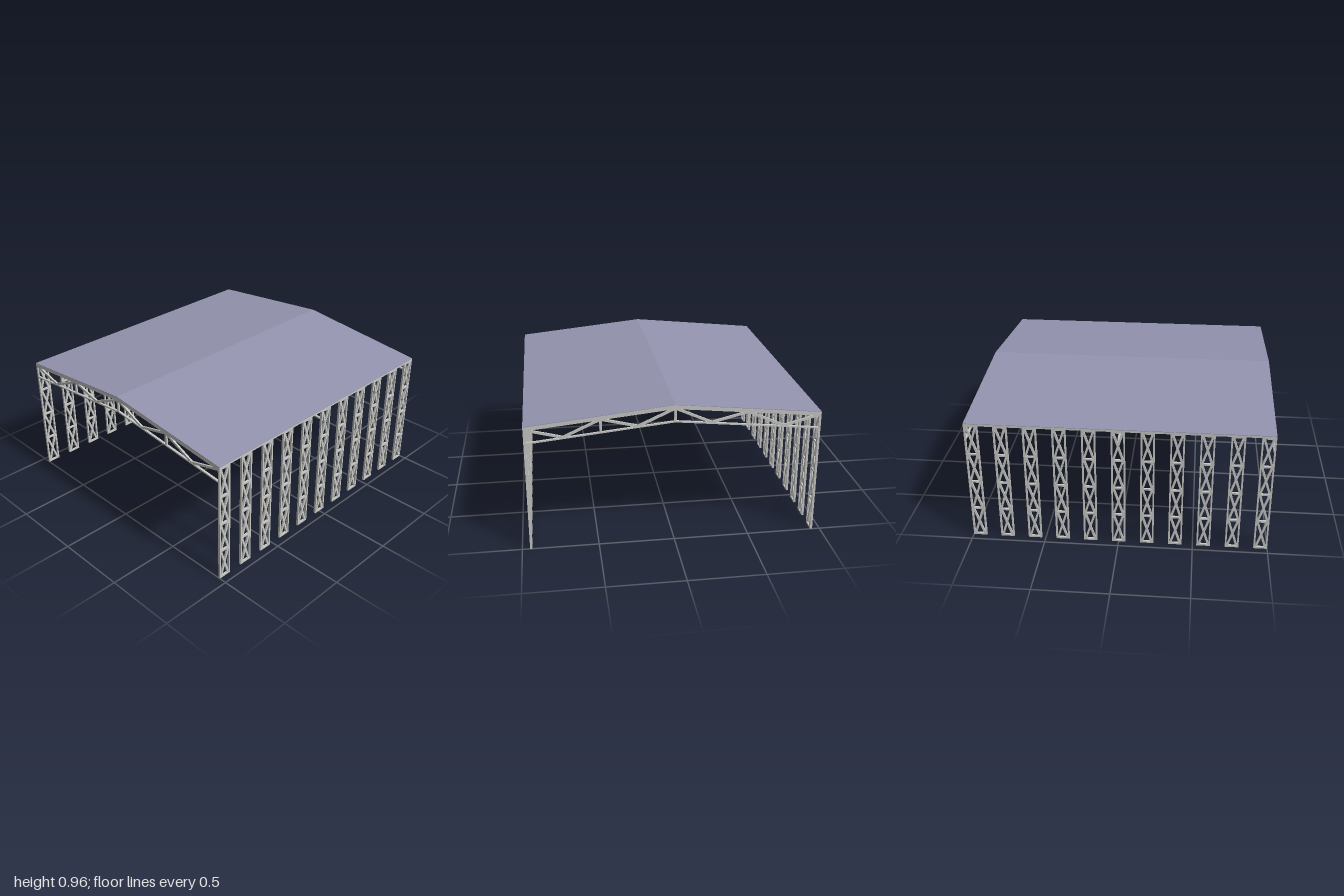
import * as THREE from 'three';

const steel = new THREE.MeshStandardMaterial({ color: 0xc8c8c5 });
steel.name = 'galvanised steel';
const sheet = new THREE.MeshStandardMaterial({ color: 0x9494b0 });
sheet.name = 'blue roof sheet';

const HALF_W = 0.95, EAVE = 0.86, RIDGE = 0.957, BAR = 0.015;
const slope = (RIDGE - EAVE) / HALF_W;
const topAt = (x) => RIDGE - Math.abs(x) * slope; // roof surface
const lowAt = (x) => 0.848 - Math.abs(x) * slope; // bottom chord

function box(name, w, h, d, x, y, z, mat = steel) {
  const m = new THREE.Mesh(new THREE.BoxGeometry(w, h, d), mat);
  m.name = name;
  m.position.set(x, y, z);
  return m;
}

// Extruded gable strip following the roof pitch, from z0 to z0 + depth
function gableStrip(name, yAt, thick, half, depth, z0, mat) {
  const s = new THREE.Shape([
    [-half, yAt(half)], [-half, yAt(half) - thick], [0, yAt(0) - thick],
    [half, yAt(half) - thick], [half, yAt(half)], [0, yAt(0)],
  ].map(([x, y]) => new THREE.Vector2(x, y)));
  const m = new THREE.Mesh(new THREE.ExtrudeGeometry(s, { depth, bevelEnabled: false }), mat);
  m.name = name;
  m.position.z = z0;
  return m;
}

// Straight bar in the xy plane
function strut(name, x0, y0, x1, y1, width, depth) {
  const dx = x1 - x0, dy = y1 - y0;
  const m = box(name, Math.hypot(dx, dy), width, depth, (x0 + x1) / 2, (y0 + y1) / 2, 0);
  m.rotation.z = Math.atan2(dy, dx);
  return m;
}

// Roof truss with pitched chords, posts and zigzag web
function makeTruss(z) {
  const g = new THREE.Group();
  g.name = 'roofTruss';
  g.add(gableStrip('topChord', (x) => topAt(x) - 0.002, 0.027, HALF_W, BAR, -BAR / 2, steel));
  g.add(gableStrip('bottomChord', lowAt, 0.01, HALF_W - 0.005, BAR, -BAR / 2, steel));
  const under = (x) => topAt(x) - 0.026;
  for (const x of [-0.47, 0, 0.47]) {
    const y0 = lowAt(x) - 0.005, y1 = under(x) + 0.004;
    g.add(box('trussPost', 0.016, y1 - y0, 0.012, x, (y0 + y1) / 2, 0));
  }
  for (const s of [-1, 1]) {
    const nodes = [0, 0.235, 0.47, 0.705, 0.935].map((x, i) =>
      [s * x, i % 2 ? lowAt(x) : under(x)]);
    for (let i = 0; i < 4; i++) g.add(strut('webDiagonal', ...nodes[i], ...nodes[i + 1], 0.016, 0.012));
  }
  g.position.z = z;
  return g;
}

// Lattice column: two posts, rungs and crossed braces
function makeColumn(x, z) {
  const g = new THREE.Group();
  g.name = 'latticeColumn';
  const W = 0.092, H = 0.846, P = 0.011, panels = 4, step = (H - 0.012) / panels;
  for (const s of [-1, 1]) g.add(box('columnPost', BAR, H, P, 0, H / 2, s * (W - P) / 2));
  for (let i = 0; i <= panels; i++) g.add(box('rung', BAR, 0.012, W - 2 * P, 0, 0.006 + i * step, 0));
  const dz = W - 2 * P, dy = step - 0.012;
  for (let i = 0; i < panels; i++) {
    for (const s of [-1, 1]) {
      const b = box('crossBrace', BAR * 0.8, Math.hypot(dy, dz), 0.014, 0, 0.006 + (i + 0.5) * step, 0);
      b.rotation.x = s * Math.atan2(dz - 0.008, dy);
      g.add(b);
    }
  }
  g.position.set(x, 0, z);
  return g;
}

export function createModel() {
  const model = new THREE.Group();
  model.name = 'openShed';

  // Roof
  model.add(gableStrip('roofSheet', topAt, 0.003, HALF_W, 2, -1, sheet));

  // Trusses at both ends and the middle
  for (const z of [-1 + BAR / 2, 0, 1 - BAR / 2]) model.add(makeTruss(z));

  // Side walls: eave beams over eleven columns each
  for (const s of [-1, 1]) {
    const x = s * (HALF_W - BAR / 2);
    model.add(box('eaveBeam', BAR, 0.014, 2, x, 0.8505, 0));
    for (let i = 0; i < 11; i++) model.add(makeColumn(x, (i - 5) * 0.1908));
  }
  return model;
}
